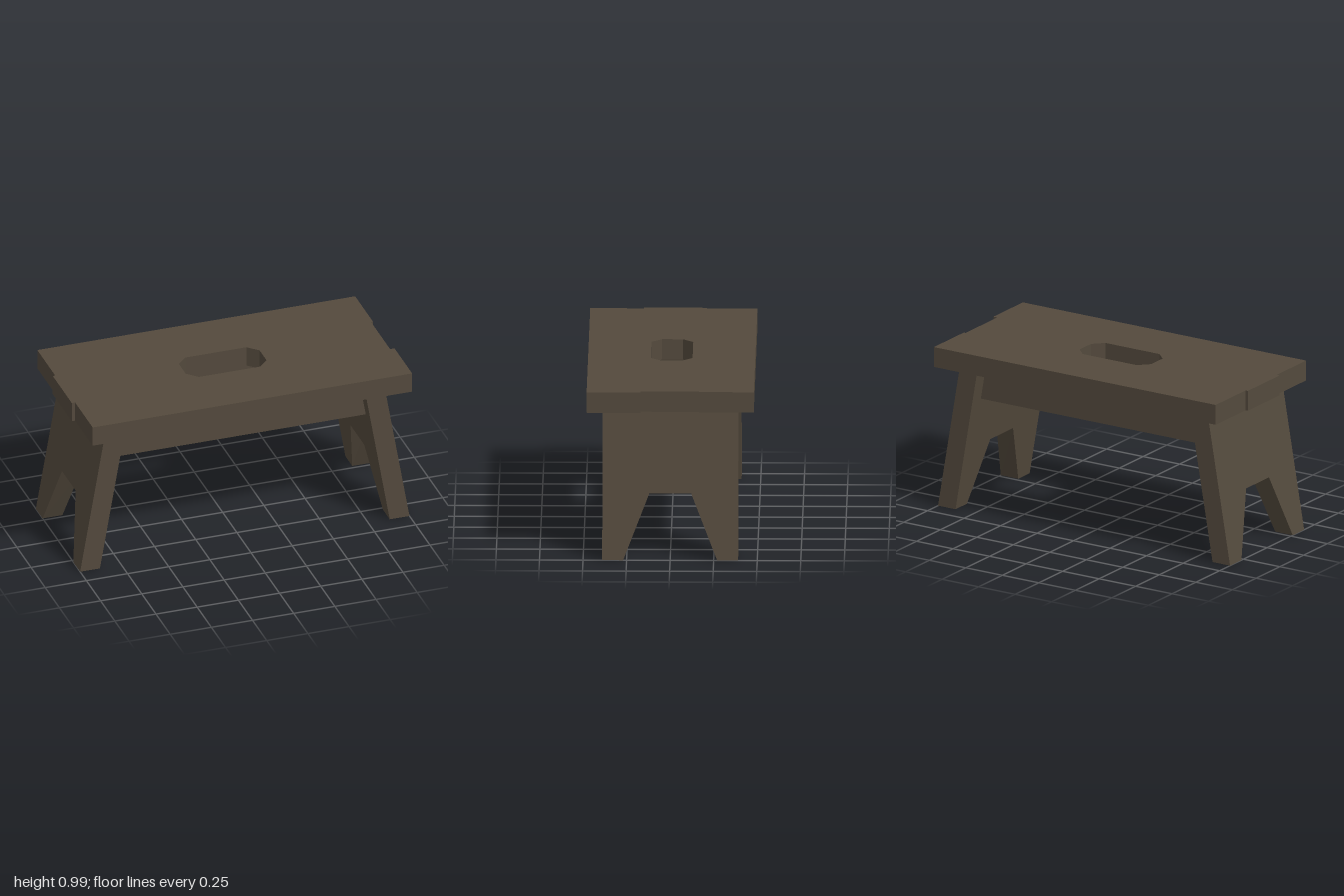
import * as THREE from 'three';

const TOP = 0.99, UNDER = 0.87;

function polygon(points, Type = THREE.Shape) {
  return new Type(points.map(([x, y]) => new THREE.Vector2(x, y)));
}

// Flat board lying in xz, from UNDER to TOP
function plankGeometry(x0, x1, z0, z1, hole) {
  const shape = polygon([[x0, -z1], [x1, -z1], [x1, -z0], [x0, -z0]]);
  if (hole) shape.holes.push(hole);
  const geo = new THREE.ExtrudeGeometry(shape, { depth: TOP - UNDER, bevelEnabled: false });
  return geo.rotateX(-Math.PI / 2).translate(0, UNDER, 0);
}

// Splayed leg board with a notch that forms two feet
function legGeometry() {
  const notchY = 0.36, thick = 0.12;
  const shape = polygon([
    [-0.39, 0], [-0.27, 0], [-0.12, notchY], [0.12, notchY],
    [0.27, 0], [0.39, 0], [0.39, UNDER], [-0.39, UNDER],
  ]);
  const geo = new THREE.ExtrudeGeometry(shape, { depth: thick, bevelEnabled: false });
  geo.rotateY(Math.PI / 2);
  const p = geo.attributes.position;
  for (let i = 0; i < p.count; i++) {
    const x = p.getX(i);
    let y = p.getY(i);
    // the notch is cut square to the leaning board, so its outer edge is higher
    if (Math.abs(y - notchY) < 0.001) y += 0.02 * (x / thick);
    p.setXYZ(i, 0.73 + x + (UNDER - y) * (0.15 / UNDER), y, p.getZ(i));
  }
  geo.computeVertexNormals();
  return geo;
}

export function createModel() {
  const group = new THREE.Group();
  const wood = new THREE.MeshStandardMaterial({ color: 0x544a3d });
  wood.name = 'dark wood';
  const add = (name, geo) => {
    const mesh = new THREE.Mesh(geo, wood);
    mesh.name = name;
    group.add(mesh);
    return mesh;
  };

  // Seat: three uneven planks, the middle one with an eight-sided hand hole
  const handHole = polygon([
    [-0.245, -0.06], [-0.245, 0.06], [-0.185, 0.12], [0.185, 0.12],
    [0.245, 0.06], [0.245, -0.06], [0.185, -0.12], [-0.185, -0.12],
  ], THREE.Path);
  add('backPlank', plankGeometry(-0.96, 0.97, -0.48, -0.165));
  add('middlePlank', plankGeometry(-0.975, 0.958, -0.165, 0.17, handHole));
  add('frontPlank', plankGeometry(-0.955, 0.985, 0.17, 0.48));

  // Legs
  const leg = legGeometry();
  add('leftLeg', leg);
  add('rightLeg', leg).rotation.y = Math.PI;

  // Rails between the legs, their ends let into the boards
  for (const [name, side] of [['frontRail', 1], ['backRail', -1]]) {
    const rail = add(name, new THREE.BoxGeometry(1.56, UNDER - 0.665, 0.12));
    rail.position.set(0, (UNDER + 0.665) / 2, side * 0.24);
  }
  return group;
}
